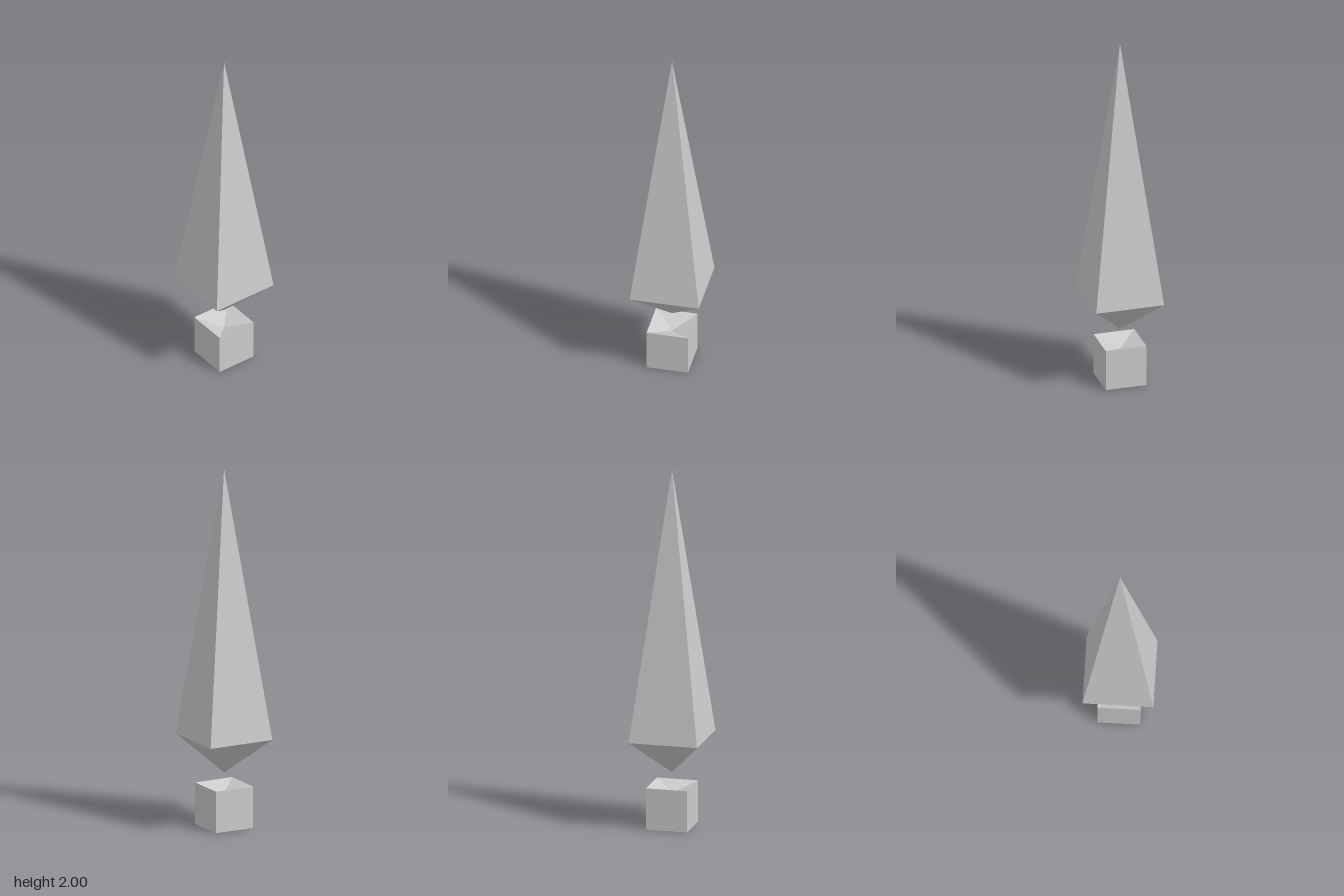
import * as THREE from 'three';

// Four-sided solid from a profile of [half width, height], listed bottom to top
function squareSolid(name, profile) {
  const points = profile.map(([half, y]) => new THREE.Vector2(half * Math.SQRT2, y));
  const geometry = new THREE.LatheGeometry(points, 4, Math.PI / 4);
  const material = new THREE.MeshStandardMaterial({ color: 0xcccccc, flatShading: true });
  const mesh = new THREE.Mesh(geometry, material);
  mesh.name = name;
  return mesh;
}

export function createModel() {
  const group = new THREE.Group();
  group.name = 'floatingMarker';

  // Tall spike with a short point underneath
  group.add(squareSolid('spike', [[0, 0.3], [0.192, 0.5], [0, 2]]));

  // Cube with a shallow pyramid-shaped hollow in its top
  group.add(squareSolid('baseCube', [[0, 0], [0.115, 0], [0.115, 0.232], [0, 0.182]]));

  return group;
}
